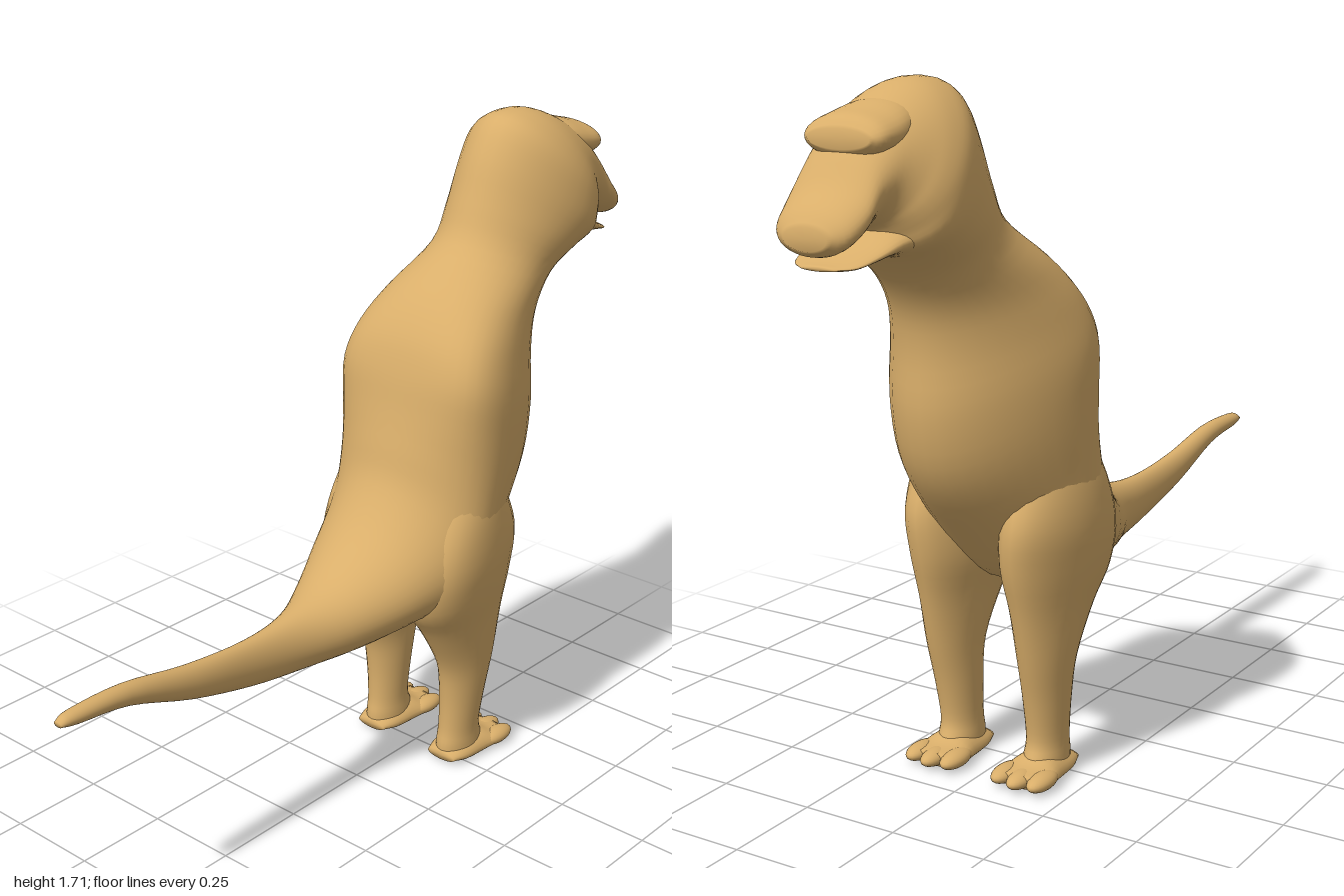
import * as THREE from 'three';

// Smooth loft: each station is [topZ, topY, bottomZ, bottomY, halfWidth, egg, centreX];
// egg shifts the widest line towards the top (+) or bottom (-) of the section
function loft(stations, sides = 32, steps = 4) {
  const curve = (f) => new THREE.CatmullRomCurve3(
    stations.map((s) => new THREE.Vector3(...f(s))), false, 'catmullrom', 0.5);
  const top = curve((s) => [0, s[1], s[0]]);
  const bottom = curve((s) => [0, s[3], s[2]]);
  const shape = curve((s) => [s[4], s[5] ?? 0, s[6] ?? 0]);
  const n = (stations.length - 1) * steps;
  const pos = [], index = [];
  const ring = (t, scale) => {
    const a = top.getPoint(t), b = bottom.getPoint(t), w = shape.getPoint(t);
    const mid = a.clone().add(b).multiplyScalar(0.5);
    const half = a.clone().sub(b).multiplyScalar(0.5 * scale);
    for (let j = 0; j < sides; j++) {
      const ang = (j / sides) * Math.PI * 2;
      const c = Math.cos(ang), k = Math.sin(ang) + w.y * c * c;
      pos.push(w.z + c * w.x * scale, mid.y + half.y * k, mid.z + half.z * k);
    }
  };
  ring(0, 0.001);
  for (let i = 0; i <= n; i++) ring(i / n, 1);
  ring(1, 0.001);
  for (let i = 0; i < n + 2; i++) {
    for (let j = 0; j < sides; j++) {
      const a = i * sides + j, b = i * sides + ((j + 1) % sides);
      index.push(a, a + sides, b, b, a + sides, b + sides);
    }
  }
  const g = new THREE.BufferGeometry();
  g.setAttribute('position', new THREE.Float32BufferAttribute(pos, 3));
  g.setIndex(index);
  g.computeVertexNormals();
  return g;
}

export function createModel() {
  const model = new THREE.Group();
  const hide = new THREE.MeshStandardMaterial({ color: 0xd9ae6a });
  hide.name = 'tan hide';
  const add = (name, geometry, parent = model) => {
    const m = new THREE.Mesh(geometry, hide);
    m.name = name;
    parent.add(m);
    return m;
  };

  // Tail and torso
  const trunk = [
    [1.0, 0.615, 0.998, 0.6, 0.013],
    [0.96, 0.628, 0.95, 0.59, 0.022],
    [0.8, 0.627, 0.8, 0.57, 0.027],
    [0.6, 0.592, 0.6, 0.5, 0.032],
    [0.4, 0.577, 0.4, 0.45, 0.037],
    [0.25, 0.59, 0.24, 0.43, 0.062],
    [0.12, 0.63, 0.08, 0.43, 0.125],
    [0.0, 0.72, -0.08, 0.455, 0.19, -0.1],
    [-0.08, 0.83, -0.28, 0.48, 0.235, -0.1],
    [-0.11, 0.93, -0.45, 0.64, 0.238, 0.15],
    [-0.133, 1.02, -0.57, 0.79, 0.243, 0.35],
    [-0.155, 1.12, -0.612, 0.94, 0.243, 0.45],
    [-0.19, 1.21, -0.612, 1.09, 0.22, 0.4],
    [-0.26, 1.3, -0.63, 1.19, 0.188, 0.25],
  ];
  // Neck, skull and upper muzzle
  const head = [
    [-0.38, 1.4, -0.68, 1.27, 0.158, 0],
    [-0.43, 1.5, -0.745, 1.325, 0.173, -0.2],
    [-0.475, 1.61, -0.8, 1.355, 0.187, -0.3],
    [-0.53, 1.69, -0.82, 1.385, 0.185, -0.25],
    [-0.6, 1.71, -0.835, 1.405, 0.17, -0.2],
    [-0.68, 1.7, -0.85, 1.41, 0.147, -0.1],
    [-0.78, 1.655, -0.87, 1.407, 0.122],
    [-0.86, 1.59, -0.895, 1.398, 0.11],
    [-0.92, 1.51, -0.93, 1.383, 0.11],
    [-0.97, 1.465, -0.97, 1.365, 0.095],
    [-0.997, 1.43, -0.997, 1.38, 0.055],
  ];
  add('body', loft([...trunk, ...head], 40));

  // Lower jaw, leaving a narrow open mouth
  add('lowerJaw', loft([
    [-0.66, 1.44, -0.66, 1.32, 0.09],
    [-0.75, 1.43, -0.75, 1.335, 0.12],
    [-0.82, 1.412, -0.82, 1.345, 0.117],
    [-0.88, 1.377, -0.88, 1.34, 0.1],
    [-0.93, 1.354, -0.93, 1.334, 0.082],
    [-0.96, 1.345, -0.96, 1.335, 0.045],
  ]));

  // Brow swelling out of the skull above the muzzle
  add('brow', loft([
    [-0.66, 1.67, -0.69, 1.57, 0.07],
    [-0.74, 1.672, -0.77, 1.555, 0.1],
    [-0.81, 1.656, -0.825, 1.55, 0.108],
    [-0.855, 1.643, -0.863, 1.555, 0.103],
    [-0.88, 1.618, -0.882, 1.575, 0.08],
  ]));

  // Legs with three-toed feet
  for (const side of [1, -1]) {
    const leg = new THREE.Group();
    leg.name = side > 0 ? 'leftLeg' : 'rightLeg';
    model.add(leg);
    const mirrored = (rows) => rows.map((s) => [...s.slice(0, 6), s[6] * side]);
    add('limb', loft(mirrored([
      [-0.34, 0.92, -0.2, 0.92, 0.05, 0, 0.125],
      [-0.4, 0.79, -0.13, 0.78, 0.1, -0.2, 0.132],
      [-0.45, 0.67, -0.07, 0.63, 0.113, -0.2, 0.136],
      [-0.445, 0.56, -0.07, 0.51, 0.106, -0.15, 0.13],
      [-0.415, 0.44, -0.13, 0.42, 0.081, -0.1, 0.132],
      [-0.385, 0.31, -0.195, 0.3, 0.063, 0, 0.133],
      [-0.358, 0.2, -0.213, 0.2, 0.055, 0, 0.13],
      [-0.342, 0.1, -0.214, 0.1, 0.049, 0, 0.127],
      [-0.355, 0.055, -0.206, 0.05, 0.051, 0, 0.126],
      [-0.37, 0.02, -0.205, 0.014, 0.053, 0, 0.126],
    ]), 28), leg);
    add('foot', loft(mirrored([
      [-0.204, 0.035, -0.204, 0.008, 0.045, 0, 0.126],
      [-0.25, 0.055, -0.25, 0.002, 0.06, -0.3, 0.126],
      [-0.32, 0.068, -0.32, 0.002, 0.067, -0.4, 0.126],
      [-0.37, 0.05, -0.37, 0.004, 0.074, -0.2, 0.126],
      [-0.415, 0.042, -0.415, 0.008, 0.066, 0, 0.126],
    ]), 28), leg);
    for (const k of [-1, 0, 1]) {
      const toe = add('toe', new THREE.SphereGeometry(1, 20, 14), leg);
      toe.position.set(side * 0.126 + k * 0.051, 0.026, -0.395 + Math.abs(k) * 0.01);
      toe.scale.set(0.029, 0.021, 0.057);
    }
  }
  return model;
}
